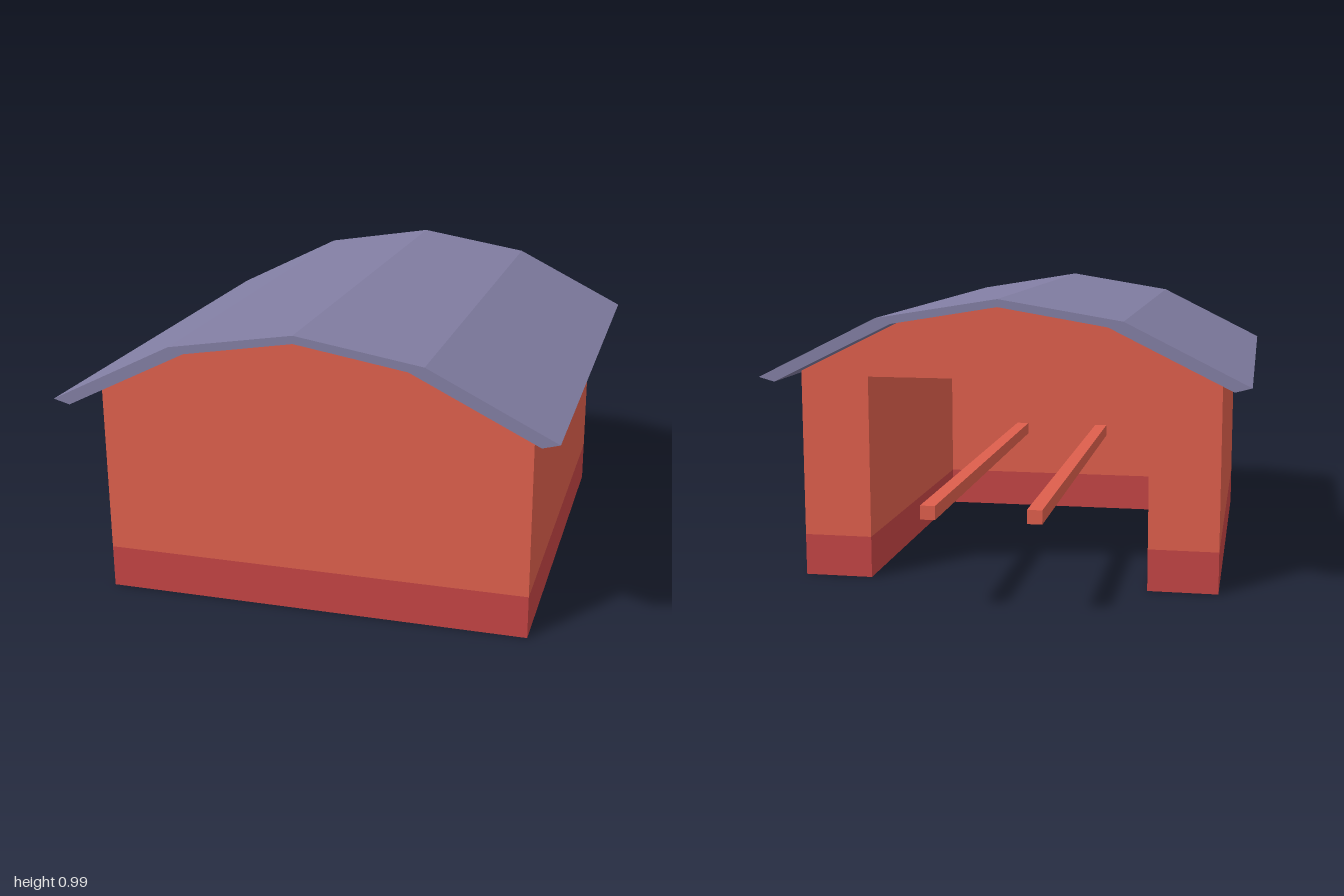
import * as THREE from 'three';

const WALL = 0xdd5f4c, BASE = 0xc34444, ROOF = 0x827ea3;
const HALF = 0.723, FRONT = 0.855, BACK = -0.59;   // outer walls
const INNER = 0.484, INNER_FRONT = 0.617;          // inside of the bay
const BAND_TOP = 0.145, CEILING = 0.71;

function part(name, geometry, color) {
  const mesh = new THREE.Mesh(geometry, new THREE.MeshStandardMaterial({ color, flatShading: true }));
  mesh.name = name;
  return mesh;
}

// Extrude a polygon in the xy plane by the given depth
function prism(points, depth) {
  const shape = new THREE.Shape(points.map(([x, y]) => new THREE.Vector2(x, y)));
  return new THREE.ExtrudeGeometry(shape, { depth, bevelEnabled: false });
}

// U-shaped wall ring, open at the back, between two heights
function wallRing(y0, y1) {
  const plan = [
    [-HALF, FRONT], [HALF, FRONT], [HALF, BACK], [INNER, BACK],
    [INNER, INNER_FRONT], [-INNER, INNER_FRONT], [-INNER, BACK], [-HALF, BACK],
  ].map(([x, z]) => [x, -z]);
  return prism(plan, y1 - y0).rotateX(-Math.PI / 2).translate(0, y0, 0);
}

export function createModel() {
  const group = new THREE.Group();
  group.name = 'shed';

  // Walls: darker foot band, then the main walls up to the ceiling
  group.add(part('baseBand', wallRing(0, BAND_TOP), BASE));
  group.add(part('walls', wallRing(BAND_TOP, CEILING), WALL));

  // Gable block above the flat ceiling
  const gable = prism([
    [-HALF, CEILING], [HALF, CEILING], [HALF, 0.726],
    [0.36, 0.905], [0, 0.965], [-0.36, 0.905], [-HALF, 0.726],
  ], FRONT - BACK).translate(0, 0, BACK);
  group.add(part('gable', gable, WALL));

  // Folded roof with overhanging eaves
  const roof = prism([
    [-0.82, 0.72], [-0.765, 0.705], [-0.36, 0.905], [0, 0.965], [0.36, 0.905], [0.765, 0.705],
    [0.82, 0.72], [0.41, 0.924], [0, 0.991], [-0.41, 0.924],
  ], 1.735).translate(0, 0, -0.735);
  group.add(part('roof', roof, ROOF));

  // Pair of rails running from the inner front wall out of the back
  for (const side of [-1, 1]) {
    const rail = part(side > 0 ? 'leftRail' : 'rightRail',
      new THREE.BoxGeometry(0.048, 0.045, 1 + INNER_FRONT), WALL);
    rail.position.set(side * 0.17, 0.34, (INNER_FRONT - 1) / 2);
    group.add(rail);
  }
  return group;
}
